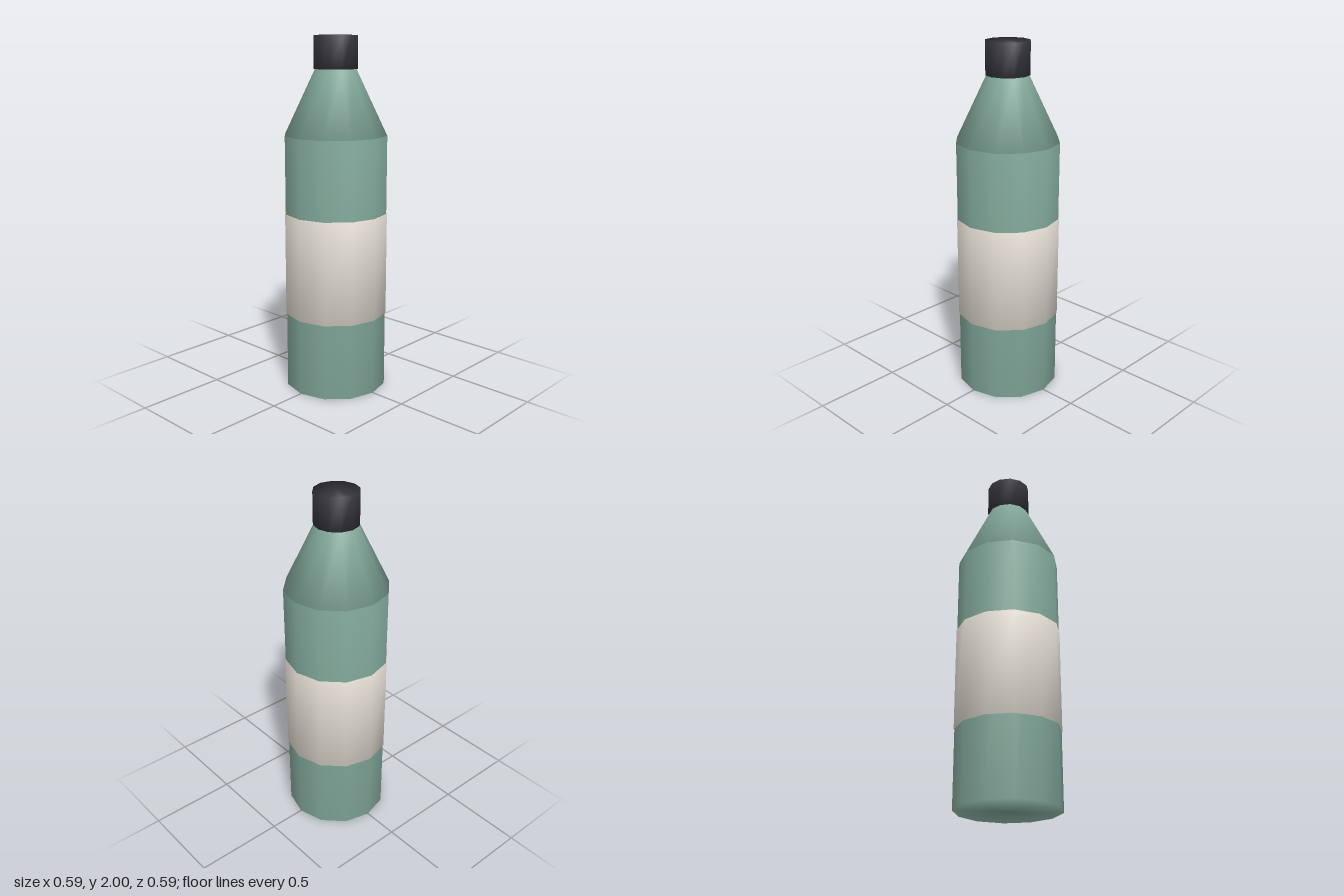
import * as THREE from 'three';
import { mergeVertices } from 'three/addons/utils/BufferGeometryUtils.js';

const SIDES = 12;

function material(name, color) {
  const m = new THREE.MeshStandardMaterial({ color });
  m.name = name;
  return m;
}

// Closed 12-sided drum whose normals blend softly over the rims
function drum(name, bottomRadius, topRadius, y0, y1, mat) {
  let geometry = new THREE.CylinderGeometry(topRadius, bottomRadius, y1 - y0, SIDES);
  geometry.deleteAttribute('normal');
  geometry.deleteAttribute('uv');
  geometry = mergeVertices(geometry);
  geometry.clearGroups();
  geometry.computeVertexNormals();
  const mesh = new THREE.Mesh(geometry, mat);
  mesh.name = name;
  mesh.position.y = (y0 + y1) / 2;
  return mesh;
}

export function createModel() {
  const green = material('bottle green', 0x82a89a);
  const cream = material('label cream', 0xe0dad0);
  const dark = material('cap dark', 0x32323a);

  const bottle = new THREE.Group();
  bottle.name = 'bottle';
  bottle.add(
    drum('body', 0.291, 0.291, 0, 1.46, green),
    drum('shoulder', 0.291, 0.116, 1.46, 1.82, green),
    drum('label', 0.295, 0.295, 0.437, 1.022, cream),
    drum('cap', 0.124, 0.124, 1.82, 2, dark),
  );
  return bottle;
}
